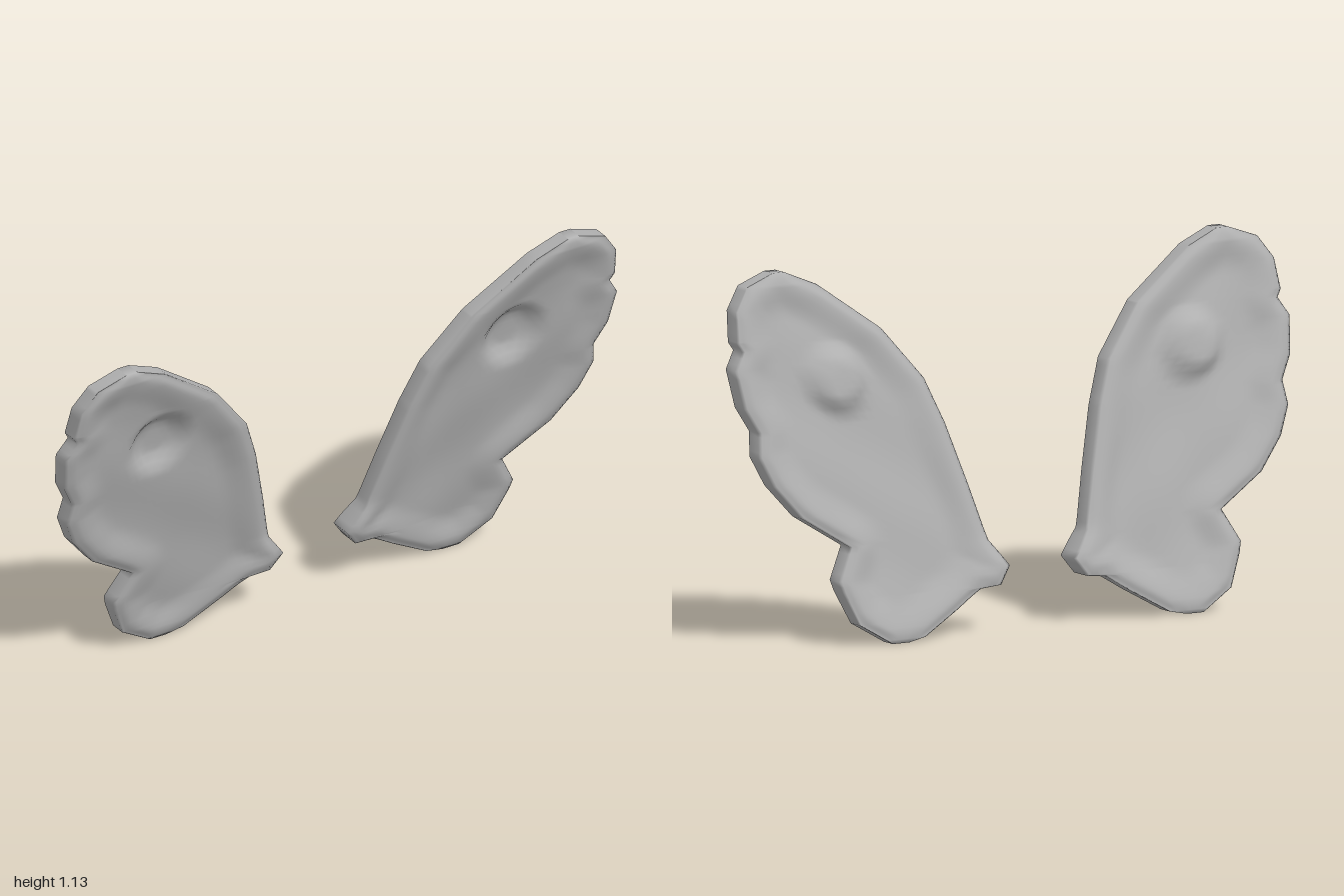
import * as THREE from 'three';

// Wing outline as [x, y], from the tip down: inner (leading) and outer (scalloped) edge
const LEAD = [[0.78, 1.135], [0.67, 1.09], [0.46, 0.94], [0.33, 0.78], [0.275, 0.64], [0.22, 0.45],
  [0.175, 0.28], [0.115, 0.2], [0.155, 0.145], [0.225, 0.138], [0.31, 0.085], [0.44, 0.012], [0.5, 0]];
const TRAIL = [[0.82, 1.135], [0.92, 1.1], [0.97, 1.03], [0.98, 0.935], [0.965, 0.91], [1, 0.855], [0.985, 0.74],
  [0.945, 0.665], [0.955, 0.59], [0.915, 0.5], [0.83, 0.4], [0.67, 0.3], [0.725, 0.2], [0.715, 0.165],
  [0.67, 0.065], [0.56, 0]];
const OUTLINE = [...LEAD, ...TRAIL.slice().reverse()];

// x of an edge at height y
function edgeX(edge, y) {
  for (let i = 0; i < edge.length - 1; i++) {
    const [x0, y0] = edge[i], [x1, y1] = edge[i + 1];
    if (y <= y0 && y >= y1) return x0 + (x1 - x0) * (y0 - y) / (y0 - y1);
  }
  return edge[edge.length - 1][0];
}

// Distance from a point to the outline
function rimDistance(x, y) {
  let best = Infinity;
  OUTLINE.forEach(([ax, ay], i) => {
    const [bx, by] = OUTLINE[(i + 1) % OUTLINE.length];
    const dx = bx - ax, dy = by - ay;
    const t = THREE.MathUtils.clamp(((x - ax) * dx + (y - ay) * dy) / (dx * dx + dy * dy), 0, 1);
    best = Math.min(best, Math.hypot(x - ax - t * dx, y - ay - t * dy));
  });
  return best;
}

// Thick rounded rim, thin membrane, shallow ripples and a round eyespot pushed backwards
function surfaceZ(x, y, face) {
  const { smoothstep } = THREE.MathUtils;
  const d = rimDistance(x, y);
  const inside = smoothstep(d, 0.03, 0.13);
  const root = 0.012 * (1 - smoothstep(Math.hypot(x - 0.15, y - 0.18), 0.03, 0.14));
  const half = 0.026 + 0.01 * smoothstep(d, 0, 0.03) - 0.02 * inside + root;
  const ripple = 0.006 * inside * Math.sin(16 * x - 7 * y) * Math.cos(11 * y + 5 * x);
  const spot = -0.036 * (1 - smoothstep(Math.hypot(x - 0.64, y - 0.8), 0.055, 0.12));
  return -0.15 + 0.245 * y + face * half + ripple + spot;
}

function wingGeometry(side) {
  // Rows at every outline corner, with extra rows in the wider gaps
  const corners = [...new Set(OUTLINE.map((p) => p[1]))].sort((a, b) => b - a);
  const ys = [];
  corners.forEach((y, i) => {
    const next = corners[i + 1] ?? y;
    const steps = Math.max(1, Math.ceil((y - next) / 0.025));
    for (let k = 0; k < steps; k++) ys.push(y + (next - y) * k / steps);
  });

  const n = 30, ring = 2 * (n + 1);
  const positions = [], index = [];
  const tri = (a, b, c) => (side > 0 ? index.push(a, b, c) : index.push(a, c, b));
  const quad = (a, b, c, d) => { tri(a, b, c); tri(a, c, d); };

  // Each cross-section runs along the front face and returns along the back
  for (const y of ys) {
    const x0 = edgeX(LEAD, y), x1 = edgeX(TRAIL, y);
    for (let k = 0; k < ring; k++) {
      const front = k <= n;
      const j = front ? k : ring - 1 - k;
      const t = 0.5 * j / n + 0.25 * (1 - Math.cos(Math.PI * j / n));
      const x = x0 + (x1 - x0) * t;
      positions.push(side * x, y, surfaceZ(x, y, front ? 1 : -1));
    }
  }
  for (let r = 0; r < ys.length - 1; r++) {
    for (let k = 0; k < ring; k++) {
      const a = r * ring + k, b = r * ring + (k + 1) % ring;
      quad(a, a + ring, b + ring, b);
    }
  }
  // Close the tip and the bottom
  const last = (ys.length - 1) * ring;
  for (let j = 0; j < n; j++) {
    const back = ring - 1 - j;
    quad(j, j + 1, back - 1, back);
    quad(last + j, last + back, last + back - 1, last + j + 1);
  }

  const geometry = new THREE.BufferGeometry();
  geometry.setAttribute('position', new THREE.Float32BufferAttribute(positions, 3));
  geometry.setIndex(index);
  geometry.computeVertexNormals();
  return geometry;
}

export function createModel() {
  const group = new THREE.Group();
  group.name = 'butterflyWings';
  const grey = new THREE.MeshStandardMaterial({ color: 0xb0b0b0 });
  grey.name = 'wing grey';
  for (const [name, side] of [['leftWing', 1], ['rightWing', -1]]) {
    const wing = new THREE.Mesh(wingGeometry(side), grey);
    wing.name = name;
    group.add(wing);
  }
  return group;
}
